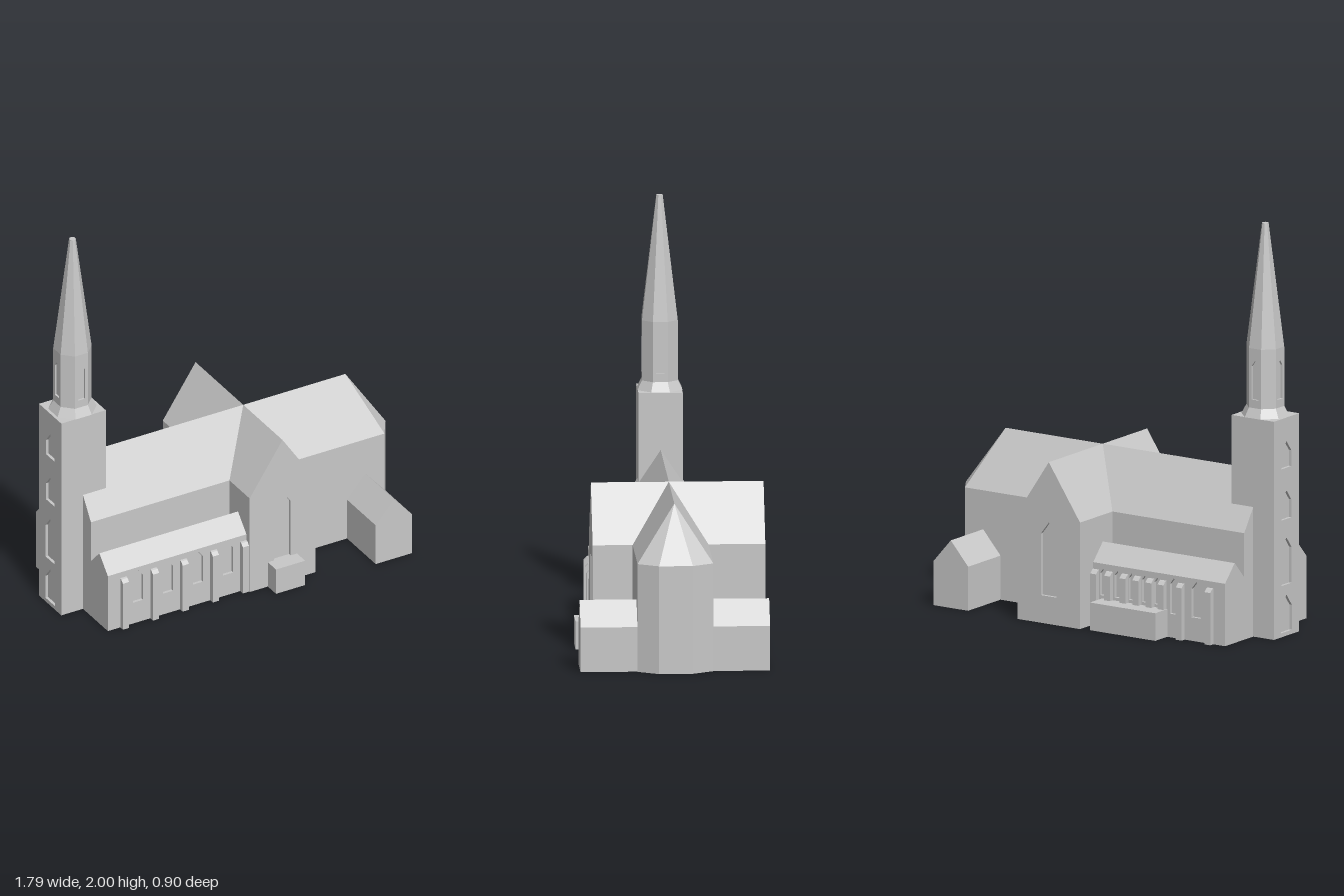
import * as THREE from 'three';
import { ConvexGeometry } from 'three/addons/geometries/ConvexGeometry.js';

const stone = new THREE.MeshStandardMaterial({ color: 0xc8c8c8, flatShading: true });
stone.name = 'stone';

function add(parent, name, geometry, x = 0, y = 0, z = 0, turn = 0) {
  const mesh = new THREE.Mesh(geometry, stone);
  mesh.name = name;
  mesh.position.set(x, y, z);
  mesh.rotation.y = turn;
  parent.add(mesh);
  return mesh;
}

// Block given by its extents
function block(parent, name, x0, x1, y0, y1, z0, z1) {
  return add(parent, name, new THREE.BoxGeometry(x1 - x0, y1 - y0, z1 - z0),
    (x0 + x1) / 2, (y0 + y1) / 2, (z0 + z1) / 2);
}

// Pointed window opening
function lancet([x, y0, w, y1]) {
  const h = w / 2, s = y1 - w * 0.65;
  return new THREE.Path([[x - h, y0], [x - h, s], [x, y1], [x + h, s], [x + h, y0]]
    .map(p => new THREE.Vector2(...p)));
}

// Outline extruded along z, with optional window openings
function slab(points, depth, windows = []) {
  const shape = new THREE.Shape(points.map(p => new THREE.Vector2(...p)));
  shape.holes = windows.map(lancet);
  return new THREE.ExtrudeGeometry(shape, { depth, bevelEnabled: false });
}

const rect = (x0, x1, y0, y1) => [[x0, y0], [x1, y0], [x1, y1], [x0, y1]];
const gable = (x0, x1, eave, ridge) =>
  [[x0, 0], [x1, 0], [x1, eave], [(x0 + x1) / 2, ridge], [x0, eave]];

// Side aisle facing +z: gabled core, pierced wall and buttresses
function aisle(name, x0, x1, windows, buttresses) {
  const group = new THREE.Group();
  group.name = name;
  const core = [[-0.17, 0], [-0.17, 0.305], [-0.18, 0.305], [-0.26, 0.39],
    [-0.34, 0.305], [-0.325, 0.305], [-0.325, 0]];
  add(group, 'aisleCore', slab(core, x1 - x0), x0, 0, 0, Math.PI / 2);
  add(group, 'aisleWall', slab(rect(x0, x1, 0, 0.305), 0.015, windows), 0, 0, 0.325);
  const profile = [[-0.335, 0], [-0.335, 0.275], [-0.35, 0.27], [-0.365, 0.255], [-0.365, 0]];
  for (const x of buttresses) {
    add(group, 'buttress', slab(profile, 0.034), x - 0.017, 0, 0, Math.PI / 2);
  }
  return group;
}

export function createModel() {
  const church = new THREE.Group();
  church.name = 'church';

  // Nave with faceted apse and hipped east roof
  const nave = [[-0.78, 0.79, 0], [0.72, 0.79, 0]];
  for (const s of [-1, 1]) {
    for (const y of [0, 0.52]) {
      nave.push([-0.78, y, 0.18 * s], [0.83, y, 0.18 * s], [0.893, y, 0.08 * s]);
    }
  }
  add(church, 'nave', new ConvexGeometry(nave.map(p => new THREE.Vector3(...p))));

  // Transept with a tall window in each gable
  const crossing = gable(-0.02, 0.34, 0.52, 0.79);
  const tall = [[0.16, 0.135, 0.09, 0.495]];
  add(church, 'transept', slab(crossing, 0.79), 0, 0, -0.435);
  add(church, 'frontGable', slab(crossing, 0.015, tall), 0, 0, 0.355);
  add(church, 'backGable', slab(crossing, 0.015, tall), 0, 0, -0.45);

  // Low chapels crossing the east end
  add(church, 'eastChapels', slab(gable(0.625, 0.825, 0.215, 0.33), 0.9), 0, 0, -0.45);

  // Porch in front, annex behind
  block(church, 'porch', 0.08, 0.24, 0, 0.135, 0.36, 0.447);
  block(church, 'annex', -0.447, -0.07, 0, 0.135, -0.44, -0.32);

  // Side aisles; the back one is turned round, so its x values are negated
  church.add(aisle('frontAisle', -0.78, -0.02,
    [-0.615, -0.45, -0.285, -0.12].map(x => [x, 0.115, 0.055, 0.29]),
    [-0.695, -0.53, -0.367, -0.202, -0.037]));
  const back = aisle('backAisle', 0.02, 0.78,
    [[0.615, 0.115, 0.055, 0.29], [0.485, 0.115, 0.045, 0.29],
      ...[0.39, 0.318, 0.242, 0.16, 0.077].map(x => [x, 0.15, 0.034, 0.28])],
    [0.695, 0.53, 0.425, 0.355, 0.28, 0.205, 0.117, 0.037]);
  back.rotation.y = Math.PI;
  church.add(back);

  // Tower with a column of openings in its west wall
  const tower = new THREE.Group();
  tower.name = 'tower';
  tower.position.x = -0.777;
  church.add(tower);
  block(tower, 'towerShaft', -0.108, 0.122, 0, 1.065, -0.105, 0.105);
  add(tower, 'westWall', slab(rect(-0.105, 0.105, 0, 1.065), 0.015,
    [[0, 0.02, 0.09, 0.2], [0, 0.25, 0.085, 0.48], [0, 0.57, 0.08, 0.71], [0, 0.82, 0.08, 0.95]]),
  -0.107, 0, 0, -Math.PI / 2);

  // Octagonal stages, sized by the distance from axis to face
  const stage = (name, y0, y1, a0, a1) => {
    const k = 1 / Math.cos(Math.PI / 8);
    add(tower, name, new THREE.CylinderGeometry(a1 * k, a0 * k, y1 - y0, 8),
      0, (y0 + y1) / 2, 0, Math.PI / 8);
  };
  stage('belfryFlare', 1.065, 1.11, 0.107, 0.085);
  stage('belfryCore', 1.11, 1.4, 0.075, 0.075);
  stage('spire', 1.4, 2, 0.085, 0.015);

  // Belfry walls, every second one with an opening
  const half = 0.085 * Math.tan(Math.PI / 8);
  for (let i = 0; i < 8; i++) {
    const a = i * Math.PI / 4;
    add(tower, 'belfryWall', slab(rect(-half, half, 1.11, 1.4), 0.01,
      i % 2 ? [] : [[0, 1.15, 0.04, 1.34]]),
    Math.sin(a) * 0.075, 0, Math.cos(a) * 0.075, a);
  }
  return church;
}
